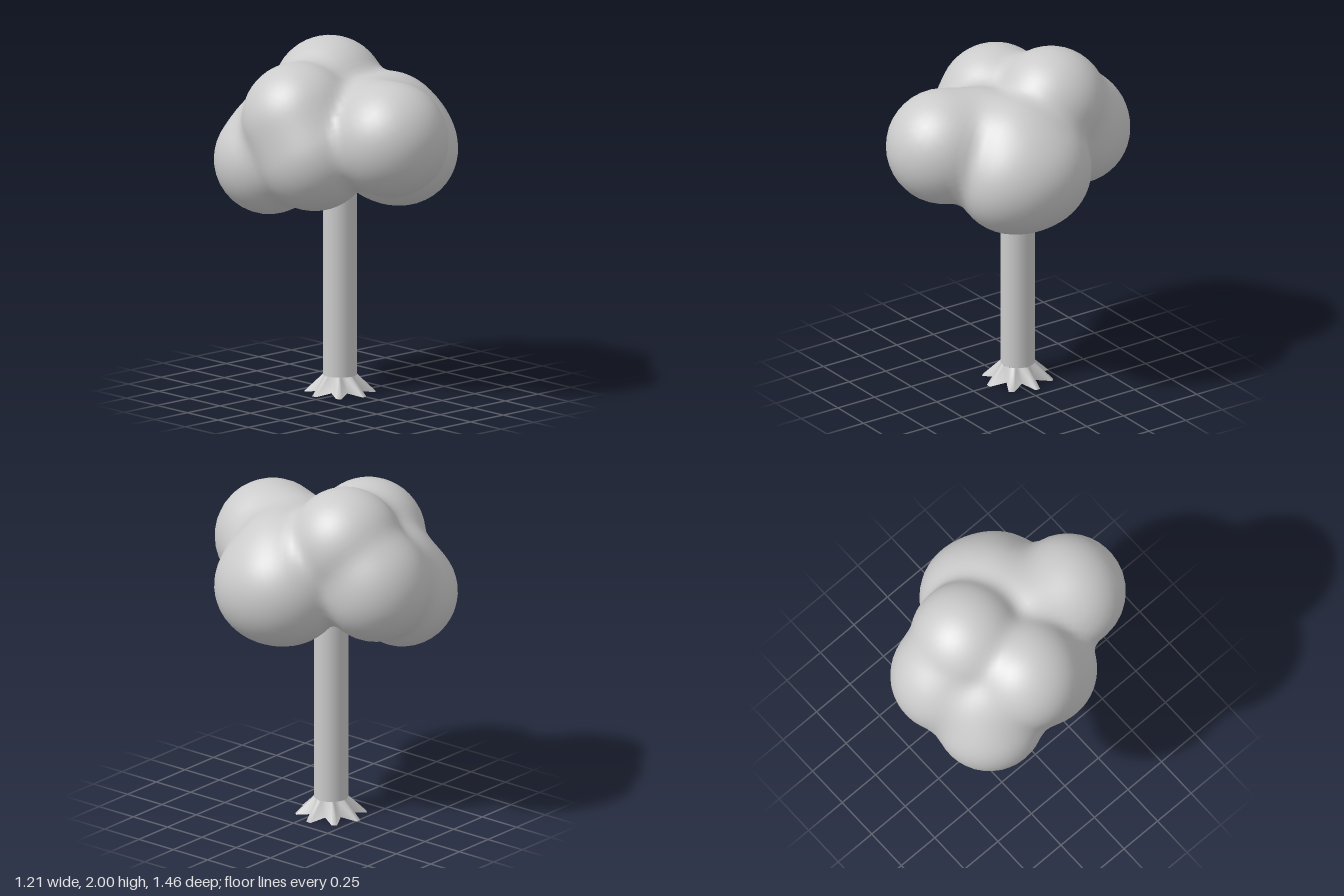
import * as THREE from 'three';
import { mergeVertices } from 'three/addons/utils/BufferGeometryUtils.js';

// Leaf clumps: x, y, z, radius
const CLUMPS = [
  [-0.06, 1.53, 0.41, 0.325],
  [0.0, 1.55, 0.2, 0.285],
  [0.19, 1.53, 0.11, 0.3],
  [0.265, 1.42, 0.05, 0.345],
  [0.255, 1.385, 0.17, 0.31],
  [0.07, 1.68, -0.23, 0.317],
  [0.06, 1.55, -0.42, 0.24],
  [0.03, 1.46, -0.415, 0.315],
  [-0.27, 1.325, -0.36, 0.31],
  [-0.285, 1.6, -0.1, 0.32],
  [-0.2, 1.48, -0.34, 0.26],
  [-0.27, 1.42, 0.01, 0.325],
];

// Signed distance to the clumps, softly blended where they meet
function canopyDistance(p) {
  const k = 0.07;
  let d = Infinity;
  for (const [x, y, z, r] of CLUMPS) {
    const e = Math.hypot(p.x - x, p.y - y, p.z - z) - r;
    if (d === Infinity) { d = e; continue; }
    const h = Math.max(k - Math.abs(d - e), 0) / k;
    d = Math.min(d, e) - h * h * k * 0.25;
  }
  return d;
}

// Shrink-wrap a sphere onto the blended clumps
function canopyGeometry() {
  let geo = new THREE.IcosahedronGeometry(1, 15);
  geo.deleteAttribute('uv');
  geo.deleteAttribute('normal');
  geo = mergeVertices(geo, 1e-4);
  const centre = new THREE.Vector3(-0.03, 1.47, -0.06);
  const pos = geo.attributes.position;
  const dir = new THREE.Vector3(), p = new THREE.Vector3();
  for (let i = 0; i < pos.count; i++) {
    dir.fromBufferAttribute(pos, i).normalize();
    let t = 1.3;
    for (let s = 0; s < 80; s++) {
      const d = canopyDistance(p.copy(centre).addScaledVector(dir, t));
      if (d < 0.0005) break;
      t -= d * 0.9;
    }
    pos.setXYZ(i, p.x, p.y, p.z);
  }
  geo.computeVertexNormals();
  return geo;
}

// Flared skirt of blunt root tips, open underneath
function rootGeometry(trunkRadius, height, tips) {
  const lobe = [[-0.5, 0.115, 0.012], [-0.1, 0.2, 0], [0.1, 0.2, 0]]; // turn, radius, y
  const n = tips * lobe.length;
  const verts = [], index = [];
  for (let i = 0; i < n; i++) {
    const [f, r, y] = lobe[i % lobe.length];
    const a = (Math.floor(i / lobe.length) + f) / tips * Math.PI * 2;
    verts.push(Math.sin(a) * trunkRadius, height, Math.cos(a) * trunkRadius);
    verts.push(Math.sin(a) * r, y, Math.cos(a) * r);
    const j = (i + 1) % n;
    index.push(2 * i, 2 * i + 1, 2 * j + 1, 2 * i, 2 * j + 1, 2 * j);
  }
  const geo = new THREE.BufferGeometry();
  geo.setAttribute('position', new THREE.Float32BufferAttribute(verts, 3));
  geo.setIndex(index);
  geo.computeVertexNormals();
  return geo;
}

export function createModel() {
  const group = new THREE.Group();
  group.name = 'tree';
  const solid = new THREE.MeshStandardMaterial({ color: 0xcccccc });
  const open = new THREE.MeshStandardMaterial({ color: 0xcccccc, side: THREE.DoubleSide });

  const add = (name, geo, mat, x = 0, y = 0, z = 0) => {
    const mesh = new THREE.Mesh(geo, mat);
    mesh.name = name;
    mesh.position.set(x, y, z);
    group.add(mesh);
  };

  add('canopy', canopyGeometry(), solid);
  add('trunk', new THREE.CylinderGeometry(0.096, 0.096, 1.25, 20, 1, true), open, -0.01, 0.725, -0.058);
  add('roots', rootGeometry(0.096, 0.1, 8), open, -0.01, 0, -0.058);
  return group;
}
